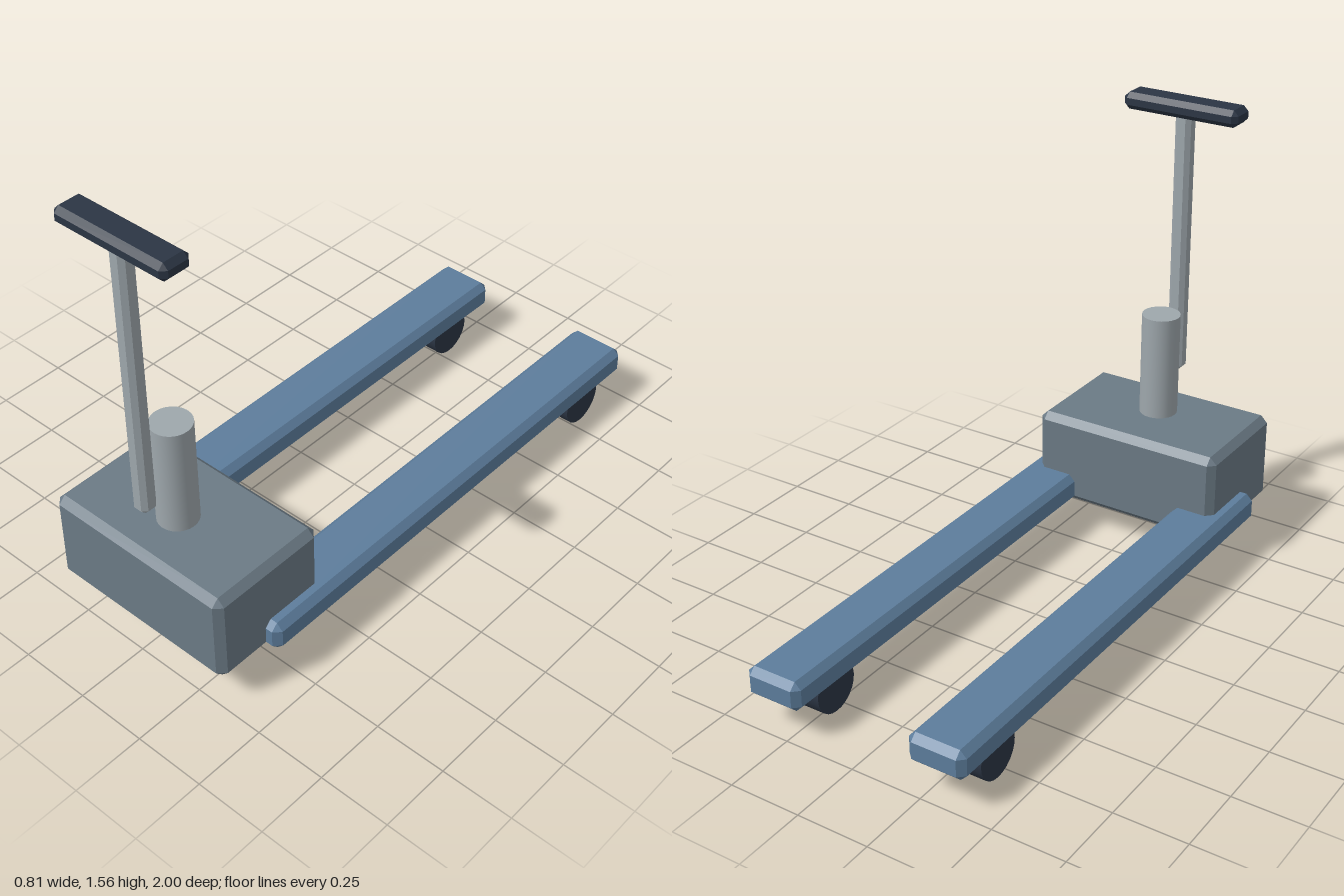
import * as THREE from 'three';
import { ConvexGeometry } from 'three/addons/geometries/ConvexGeometry.js';

const paint = (color, flatShading = false) => {
  const m = new THREE.MeshStandardMaterial({ color });
  m.flatShading = flatShading;
  return m;
};

// Box with every edge and corner cut at 45 degrees
function chamferBox(w, h, d, c) {
  const points = [];
  for (const sx of [-1, 1]) for (const sy of [-1, 1]) for (const sz of [-1, 1]) {
    const x = w / 2, y = h / 2, z = d / 2;
    points.push(
      new THREE.Vector3(sx * x, sy * (y - c), sz * (z - c)),
      new THREE.Vector3(sx * (x - c), sy * y, sz * (z - c)),
      new THREE.Vector3(sx * (x - c), sy * (y - c), sz * z));
  }
  return new ConvexGeometry(points);
}

export function createModel() {
  const model = new THREE.Group();
  const blue = paint(0x5d7d9c, true);
  const bodyGrey = paint(0x6b7a85, true);
  const steel = paint(0x9ea7ac);
  const steelFlat = paint(0x9ea7ac, true);
  const dark = paint(0x2b3544, true);
  const rubber = paint(0x2b3544);

  const add = (name, geometry, material, x, y, z) => {
    const mesh = new THREE.Mesh(geometry, material);
    mesh.name = name;
    mesh.position.set(x, y, z);
    model.add(mesh);
    return mesh;
  };

  // Housing at the front
  add('housing', chamferBox(0.71, 0.325, 0.435, 0.025), bodyGrey, 0, 0.27, 0.7825);

  // Lifting post and steering handle
  add('liftPost', new THREE.CylinderGeometry(0.068, 0.068, 0.46, 24), steel, 0, 0.58, 0.81);
  add('handleShaft', chamferBox(0.06, 0.96, 0.06, 0.015), steelFlat, 0, 1.035, 0.935);
  add('handleGrip', chamferBox(0.436, 0.06, 0.108, 0.018), dark, 0, 1.53, 0.933);

  // Forks with a roller under each tip
  for (const [side, s] of [['left', 1], ['right', -1]]) {
    add(side + 'Fork', chamferBox(0.203, 0.105, 1.81, 0.023), blue, s * 0.302, 0.161, -0.095);
    const roller = add(side + 'Roller', new THREE.CylinderGeometry(0.088, 0.088, 0.164, 24),
      rubber, s * 0.302, 0.088, -0.793);
    roller.rotation.z = Math.PI / 2;
  }
  return model;
}
